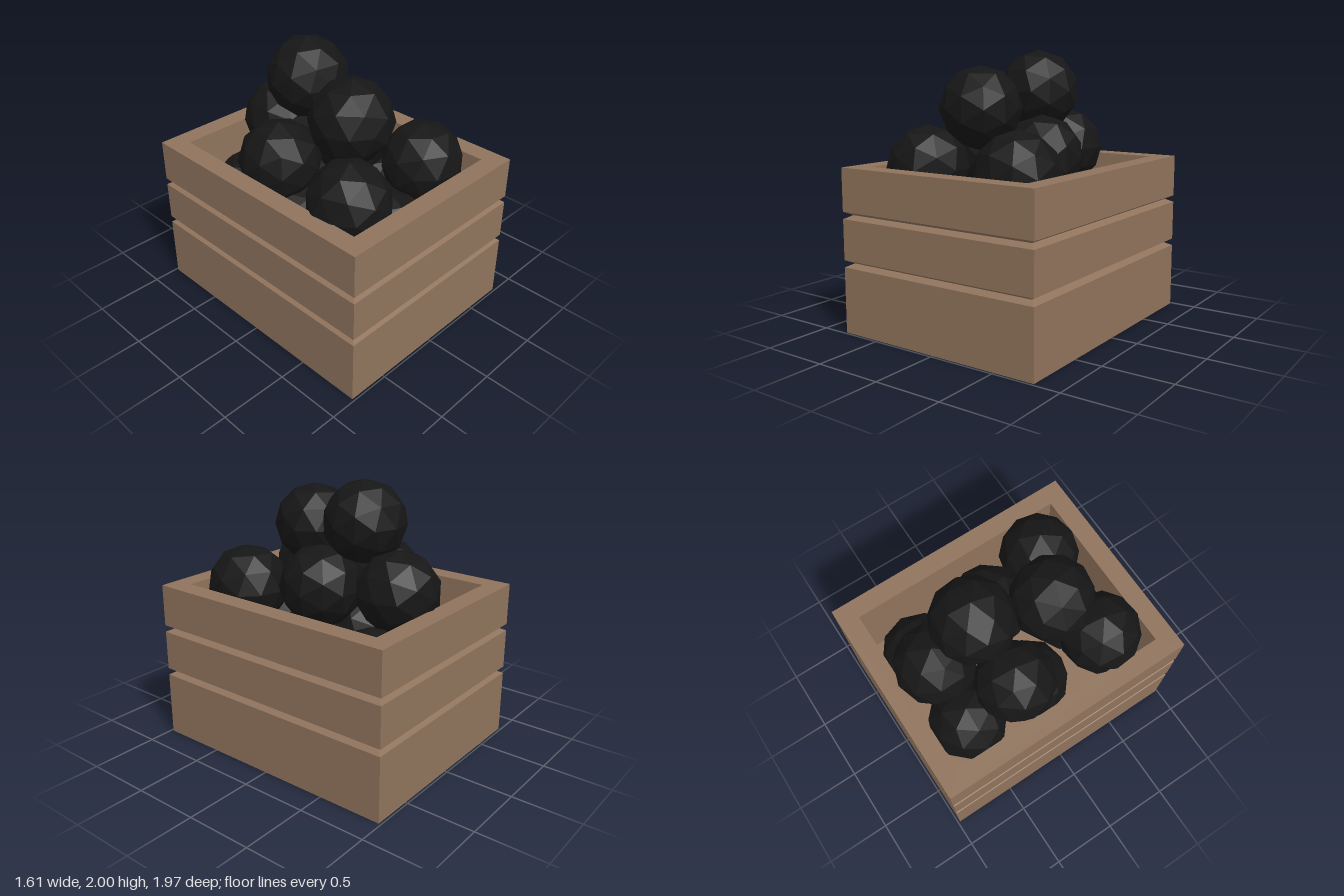
import * as THREE from 'three';

// Rectangular rings [halfX, halfZ, y] joined into one flat-sided skin
function loftRectangles(rings) {
  const pos = [];
  const corner = ([x, z, y], k) => [[-x, y, z], [x, y, z], [x, y, -z], [-x, y, -z]][k % 4];
  for (let i = 0; i < rings.length - 1; i++) {
    for (let k = 0; k < 4; k++) {
      const a = corner(rings[i], k), b = corner(rings[i], k + 1);
      const c = corner(rings[i + 1], k + 1), d = corner(rings[i + 1], k);
      pos.push(...a, ...b, ...c, ...a, ...c, ...d);
    }
  }
  const geo = new THREE.BufferGeometry();
  geo.setAttribute('position', new THREE.Float32BufferAttribute(pos, 3));
  geo.computeVertexNormals();
  return geo;
}

export function createModel() {
  const model = new THREE.Group();
  model.name = 'crateOfBalls';
  const wood = new THREE.MeshStandardMaterial({ color: 0x8f735c, flatShading: true, side: THREE.DoubleSide });
  const black = new THREE.MeshStandardMaterial({ color: 0x161616, flatShading: true });

  // Crate: outer wall with two V grooves, flat rim, inner wall; open underneath
  const X = 0.803, Z = 0.983, wall = 0.145, top = 1.19, floorY = 0.545;
  const rings = [[X, Z, 0]];
  for (const y of [0.505, 0.852]) {
    rings.push([X, Z, y - 0.026], [X - 0.05, Z - 0.05, y], [X, Z, y + 0.026]);
  }
  rings.push([X, Z, top], [X - wall, Z - wall, top], [X - wall, Z - wall, floorY]);
  const crate = new THREE.Mesh(loftRectangles(rings), wood);
  crate.name = 'crateWalls';
  model.add(crate);

  // Raised floor
  const floor = new THREE.Mesh(new THREE.PlaneGeometry(2 * (X - wall), 2 * (Z - wall)), wood);
  floor.rotation.x = -Math.PI / 2;
  floor.position.y = floorY;
  floor.name = 'crateFloor';
  model.add(floor);

  // Heap of faceted balls: bottom layer, middle layer, two on top
  const ballGeo = new THREE.IcosahedronGeometry(0.3, 1);
  const heap = new THREE.Group();
  heap.name = 'ballHeap';
  const centres = [
    [-0.3, 0.78, 0], [0.33, 0.78, 0.02], [0, 0.78, 0.54], [-0.31, 0.78, -0.55], [0.33, 0.78, -0.56],
    [-0.39, 1.18, 0.54], [0.365, 1.18, 0.53], [0.2, 1.24, -0.02], [-0.36, 1.2, -0.17], [0.04, 1.26, -0.57],
    [-0.115, 1.59, 0.29], [0.01, 1.7, -0.26],
  ];
  centres.forEach((c, i) => {
    const ball = new THREE.Mesh(ballGeo, black);
    ball.position.set(...c);
    ball.rotation.y = i * 0.7;
    ball.name = 'ball' + (i + 1);
    heap.add(ball);
  });
  model.add(heap);
  return model;
}
